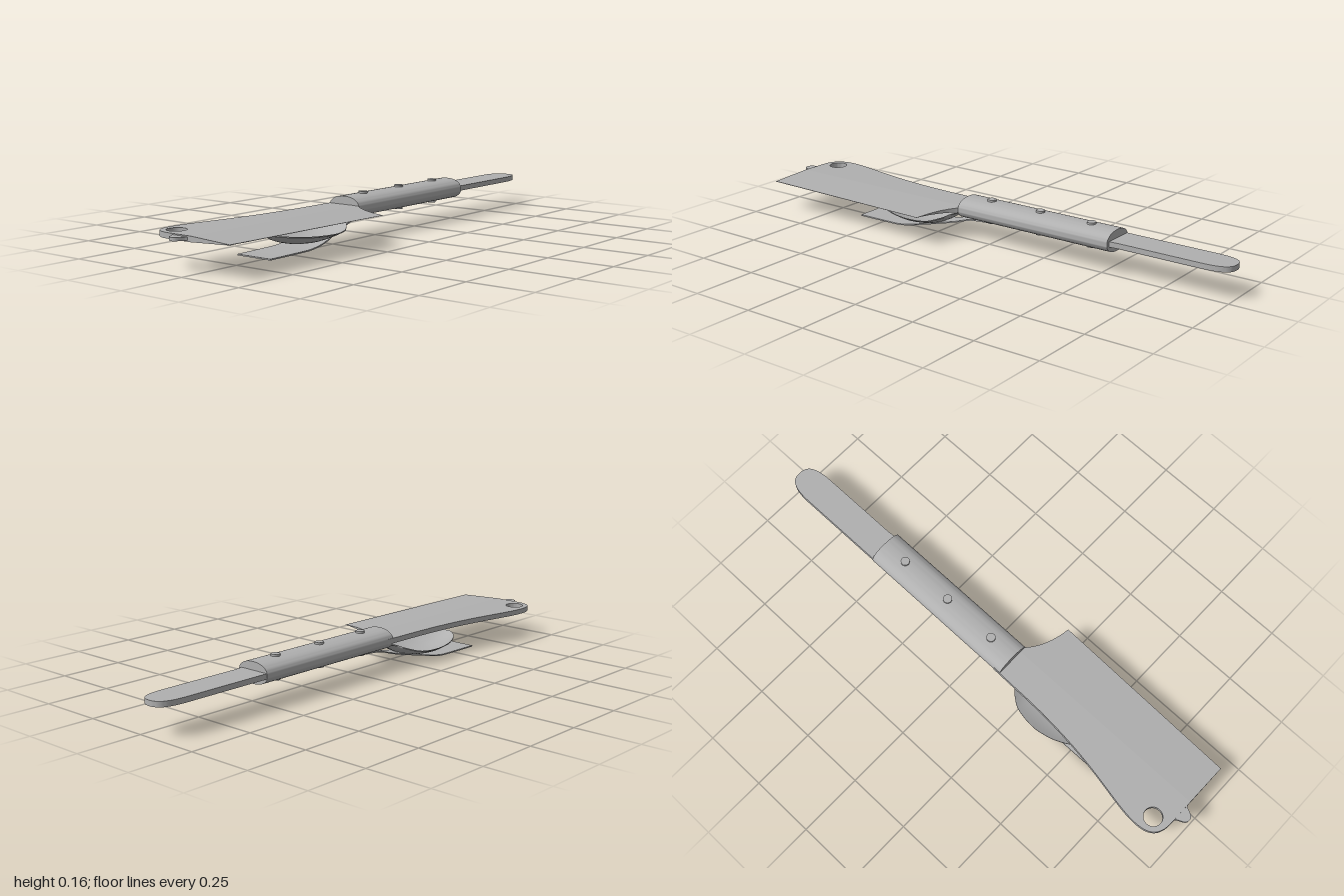
import * as THREE from 'three';
import { toCreasedNormals } from 'three/addons/utils/BufferGeometryUtils.js';

const steel = new THREE.MeshStandardMaterial({ color: 0xb0b0b0 });
steel.name = 'steel';

const MID = -0.043;    // centre line of the handle and utensils
const PLANE = 0.117;   // height of the blade's middle plane
const THICK = 0.02;

function part(name, geometry, parent) {
  const mesh = new THREE.Mesh(geometry, steel);
  mesh.name = name;
  parent.add(mesh);
  return mesh;
}

// Extrude a plan outline (x, z) into a level plate centred on y = 0
function plate(shape, thickness) {
  const g = new THREE.ExtrudeGeometry(shape, { depth: thickness, bevelEnabled: false, curveSegments: 16 });
  g.translate(0, 0, -thickness / 2);
  g.rotateX(Math.PI / 2);
  return g;
}

// Loft thin dished sections along z; station: [z, half width, rim y, middle y]
function dish(stations, thickness, steps = 40, across = 16) {
  const rim = new THREE.CatmullRomCurve3(stations.map(s => new THREE.Vector3(s[1], s[2], s[0])), false, 'catmullrom', 0.4);
  const keel = new THREE.CatmullRomCurve3(stations.map(s => new THREE.Vector3(0, s[3], s[0])), false, 'catmullrom', 0.4);
  const pos = [], index = [], ring = 2 * (across + 1);
  for (let i = 0; i <= steps; i++) {
    const r = rim.getPoint(i / steps), k = keel.getPoint(i / steps);
    for (let j = 0; j < ring; j++) {
      const top = j <= across;
      const u = (top ? j : ring - 1 - j) / across * 2 - 1;
      pos.push(MID + u * r.x, k.y + (r.y - k.y) * u * u + (top ? thickness : 0), r.z);
    }
  }
  for (let i = 0; i < steps; i++) {
    for (let j = 0; j < ring; j++) {
      const a = i * ring + j, b = i * ring + (j + 1) % ring, c = b + ring, d = a + ring;
      index.push(a, d, b, b, d, c);
    }
  }
  // End caps
  for (let j = 0; j < across; j++) {
    const t = j, t2 = j + 1, b = ring - 1 - j, b2 = b - 1, e = steps * ring;
    index.push(e + t, e + b, e + b2, e + t, e + b2, e + t2);
    index.push(t, b2, b, t, t2, b2);
  }
  const g = new THREE.BufferGeometry();
  g.setAttribute('position', new THREE.Float32BufferAttribute(pos, 3));
  g.setIndex(index);
  return toCreasedNormals(g, 0.7);
}

export function createModel() {
  const model = new THREE.Group();
  model.name = 'cleaverMultiTool';

  // Thick half of the blade along the spine, with the hanging hole
  const spine = new THREE.Shape();
  spine.moveTo(0, 0.1);
  spine.lineTo(0, 0.955);
  spine.lineTo(-0.1, 0.955);
  spine.bezierCurveTo(-0.17, 0.955, -0.19, 0.92, -0.19, 0.86);
  spine.bezierCurveTo(-0.19, 0.74, -0.115, 0.6, -0.115, 0.2);
  spine.lineTo(-0.113, 0.1);
  const hole = new THREE.Path();
  hole.absarc(-0.13, 0.893, 0.035, 0, Math.PI * 2, true);
  spine.holes.push(hole);
  part('bladeSpine', toCreasedNormals(plate(spine, THICK), 0.6), model).position.y = PLANE;

  // Ground half of the blade, tapering to the cutting edge
  const EDGE = 0.19;
  const ground = new THREE.Shape();
  ground.moveTo(0, 0.1);
  ground.lineTo(0.025, 0.13);
  ground.quadraticCurveTo(0.085, 0.185, EDGE, 0.197);
  ground.lineTo(0.172, 0.955);
  ground.lineTo(0, 0.955);
  const groundGeo = plate(ground, THICK);
  const p = groundGeo.attributes.position;
  for (let i = 0; i < p.count; i++) {
    p.setY(i, p.getY(i) * Math.max(0.02, 1 - p.getX(i) / EDGE));
  }
  groundGeo.computeVertexNormals();
  part('bladeEdge', toCreasedNormals(groundGeo, 0.6), model).position.y = PLANE;

  // Rounded nub at the blade's front
  const nub = new THREE.Shape();
  nub.moveTo(-0.09, 0.95);
  nub.bezierCurveTo(-0.07, 0.965, -0.075, 0.995, -0.05, 0.995);
  nub.bezierCurveTo(-0.025, 0.995, -0.03, 0.965, -0.01, 0.95);
  part('frontNub', toCreasedNormals(plate(nub, 0.012), 0.6), model).position.y = PLANE;

  // Round-ended spreader behind the handle
  const spreader = new THREE.Shape();
  spreader.moveTo(-0.11, -0.5);
  spreader.lineTo(-0.11, -0.9);
  spreader.bezierCurveTo(-0.108, -0.975, -0.09, -1, -0.05, -1);
  spreader.bezierCurveTo(-0.01, -1, 0.008, -0.975, 0.01, -0.9);
  spreader.lineTo(0.01, -0.57);
  spreader.lineTo(0.016, -0.5);
  part('spreader', toCreasedNormals(plate(spreader, THICK), 0.6), model).position.y = PLANE;

  // Handle with a flattened oval section
  const oval = [];
  for (let i = 0; i < 48; i++) {
    const a = i / 48 * Math.PI * 2, c = Math.cos(a), s = Math.sin(a);
    oval.push(new THREE.Vector2(
      Math.sign(c) * Math.abs(c) ** 0.9 * 0.07,
      Math.sign(s) * Math.abs(s) ** 0.9 * 0.04));
  }
  const handleGeo = new THREE.ExtrudeGeometry(new THREE.Shape(oval), { depth: 0.664, bevelEnabled: false });
  const handle = part('handle', toCreasedNormals(handleGeo, 0.6), model);
  handle.position.set(MID, PLANE + 0.001, -0.534);

  // Rivets through the handle
  for (const z of [-0.425, -0.203, 0.02]) {
    const rivet = part('rivet', new THREE.CylinderGeometry(0.017, 0.017, 0.094, 24), model);
    rivet.position.set(MID, PLANE + 0.001, z);
  }

  // Spoon below the blade
  part('spoon', dish([
    [-0.02, 0.028, 0.092, 0.092],
    [0.13, 0.028, 0.09, 0.09],
    [0.185, 0.034, 0.08, 0.075],
    [0.205, 0.07, 0.07, 0.056],
    [0.25, 0.104, 0.056, 0.034],
    [0.3, 0.117, 0.052, 0.022],
    [0.36, 0.121, 0.053, 0.016],
    [0.43, 0.107, 0.055, 0.022],
    [0.49, 0.079, 0.059, 0.036],
    [0.53, 0.046, 0.064, 0.052],
    [0.55, 0.01, 0.067, 0.065],
  ], 0.004), model);

  // Flat scraper under the spoon
  part('scraper', dish([
    [0, 0.028, 0.078, 0.078],
    [0.1, 0.028, 0.07, 0.07],
    [0.17, 0.032, 0.05, 0.05],
    [0.24, 0.045, 0.034, 0.034],
    [0.3, 0.07, 0.025, 0.02],
    [0.36, 0.079, 0.012, 0.007],
    [0.42, 0.079, 0.003, 0.003],
    [0.52, 0.078, 0.001, 0.001],
    [0.62, 0.077, 0, 0],
  ], 0.005), model);

  return model;
}
